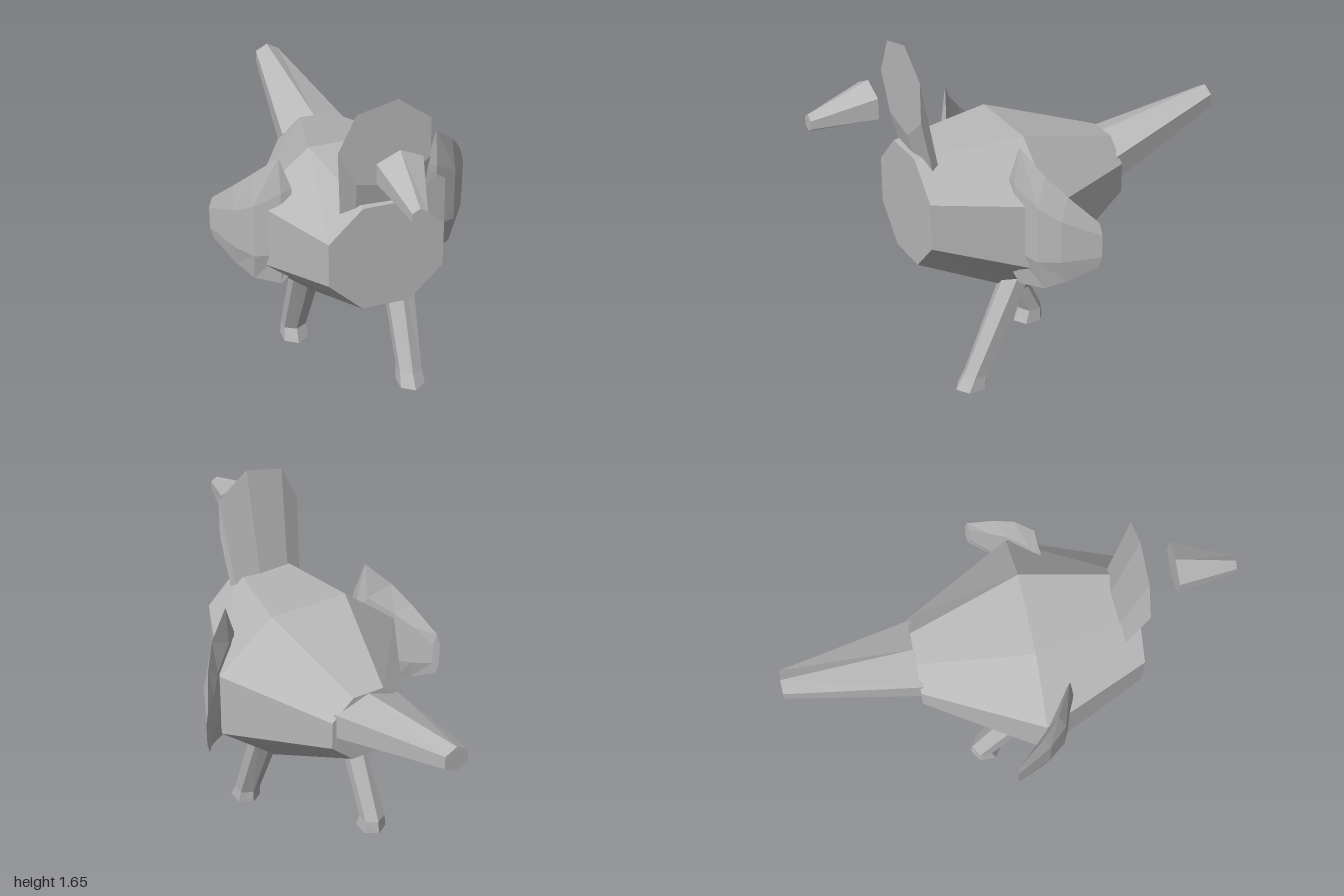
import * as THREE from 'three';

const grey = new THREE.MeshStandardMaterial({ color: 0xb8b8b8, flatShading: true });
grey.name = 'plain grey';

// Closed faceted solid through a list of equal-length rings, wound outwards
function loft(name, rings) {
  const tris = [];
  const n = rings[0].length;
  for (let i = 0; i < rings.length - 1; i++) {
    for (let j = 0; j < n; j++) {
      const k = (j + 1) % n;
      const a = rings[i][j], b = rings[i][k], c = rings[i + 1][k], d = rings[i + 1][j];
      tris.push([a, b, c], [a, c, d]);
    }
  }
  const first = rings[0], last = rings[rings.length - 1];
  for (let j = 1; j < n - 1; j++) {
    tris.push([first[0], first[j + 1], first[j]], [last[0], last[j], last[j + 1]]);
  }
  const volume = tris.reduce((s, [a, b, c]) => s + a.dot(b.clone().cross(c)), 0);
  const points = tris.flatMap(([a, b, c]) => (volume < 0 ? [a, c, b] : [a, b, c]));
  const geometry = new THREE.BufferGeometry().setFromPoints(points);
  geometry.computeVertexNormals();
  const mesh = new THREE.Mesh(geometry, grey);
  mesh.name = name;
  return mesh;
}

const v = (x, y, z) => new THREE.Vector3(x, y, z);

// Elliptical polygon facing z
function ringZ(n, x, y, z, rx, ry, turn = 0) {
  return Array.from({ length: n }, (_, i) => {
    const a = turn + (i / n) * Math.PI * 2;
    return v(x + rx * Math.sin(a), y + ry * Math.cos(a), z);
  });
}

// Hexagon facing y
function ringY(x, y, z, rx, rz) {
  return ringZ(6, x, z, 0, rx, rz).map((p) => v(p.x, y, p.y));
}

// Curved blade: each station is outer x, z, inner x, z, top y, bottom y
function wing(name, side) {
  const stations = [
    [0.31, 0.235, 0.31, 0.225, 1.08, 0.64],
    [0.36, 0.232, 0.36, 0.185, 1.235, 0.575],
    [0.47, 0.18, 0.46, 0.105, 1.13, 0.585],
    [0.535, 0.1, 0.52, 0.03, 1.04, 0.63],
    [0.608, -0.06, 0.58, -0.045, 0.92, 0.7],
  ];
  return loft(name, stations.map(([ox, oz, ix, iz, top, bottom]) => {
    const c = (top + bottom) / 2, h = (top - bottom) * 0.24;
    const mx = (ox + ix) / 2, mz = (oz + iz) / 2;
    return [
      v(side * mx, top, mz), v(side * ox, c + h, oz), v(side * ox, c - h, oz),
      v(side * mx, bottom, mz), v(side * ix, c - h, iz), v(side * ix, c + h, iz),
    ];
  }));
}

// Slanted hexagonal leg with a short flared foot
function leg(name, x, ankleZ, footZ) {
  return loft(name, [
    ringY(x, 0.6, 0.115, 0.08, 0.062),
    ringY(x, 0.065, ankleZ, 0.061, 0.058),
    ringY(x, 0, footZ, 0.068, 0.077),
  ]);
}

export function createModel() {
  const model = new THREE.Group();
  model.name = 'bird';

  // Octagonal body, widest in the middle
  const k = 1 / Math.cos(Math.PI / 8), half = Math.PI / 8;
  model.add(loft('body', [
    ringZ(8, 0, 0.897, 0.58, 0.258 * k, 0.258 * k, half),
    ringZ(8, 0, 0.808, 0.1, 0.455 * k, 0.383 * k, half),
    ringZ(8, 0, 0.865, -0.41, 0.18 * k, 0.165 * k, half),
  ]));

  // Seven-sided neck ending in a flat face
  model.add(loft('neckAndHead', [
    ringZ(7, -0.005, 1.447, 0.58, 0.212, 0.212, 0.22),
    ringZ(7, 0, 0.85, 0.45, 0.16, 0.155, 0.22),
  ]));

  // Beak, set clear of the face
  model.add(loft('beak', [
    ringZ(6, -0.005, 1.418, 0.73, 0.115, 0.093),
    ringZ(6, -0.02, 1.367, 1, 0.037, 0.037),
  ]));

  // Tail, bent slightly to one side
  model.add(loft('tail', [
    ringZ(6, 0, 0.905, -0.395, 0.188, 0.121),
    ringZ(6, -0.055, 1.05, -1, 0.064, 0.062),
  ]));

  // Wings and striding legs
  model.add(wing('leftWing', 1), wing('rightWing', -1));
  model.add(leg('leftLeg', 0.203, 0.352, 0.375), leg('rightLeg', -0.203, -0.143, -0.133));
  return model;
}
